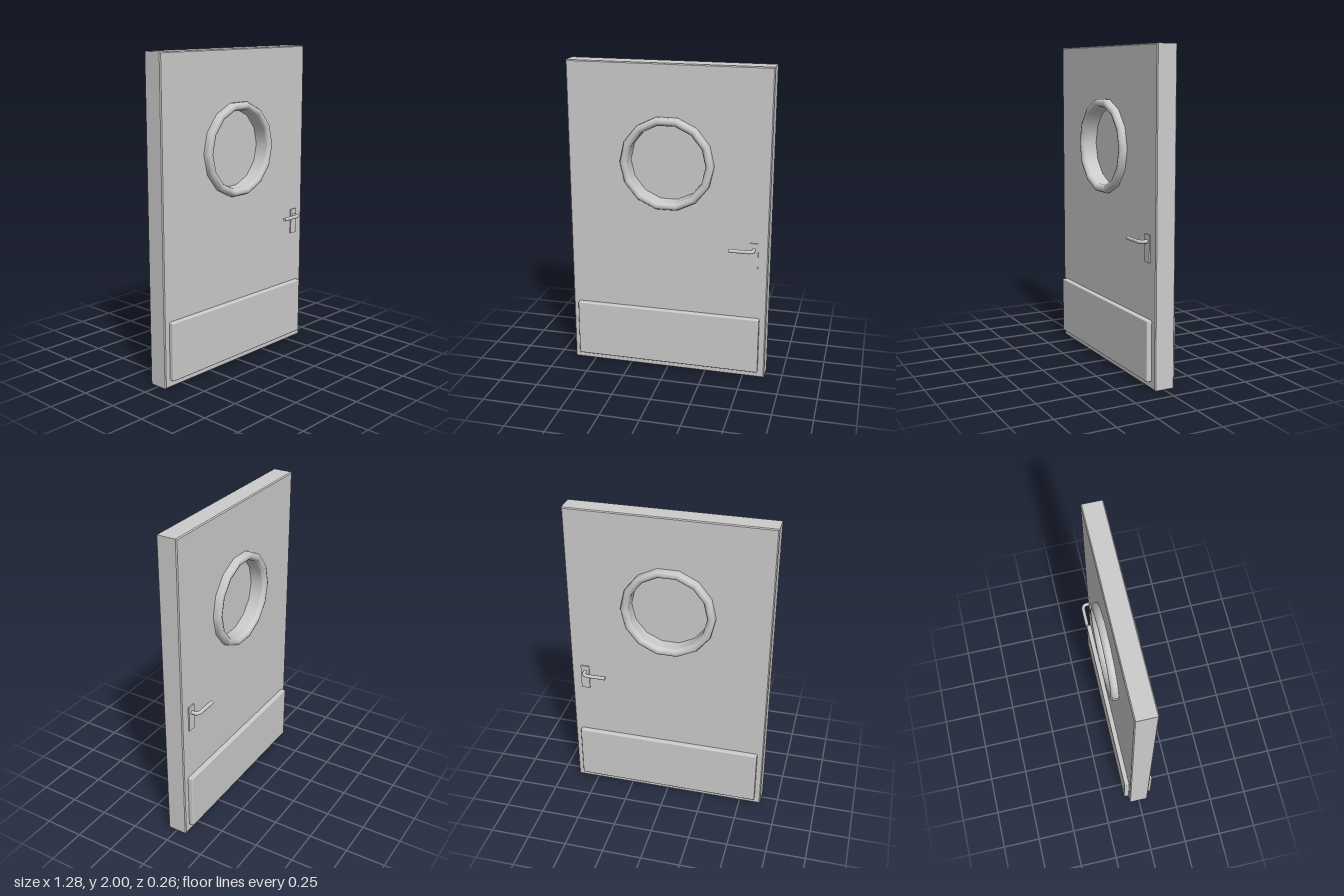
import * as THREE from 'three';
import { RoundedBoxGeometry } from 'three/addons/geometries/RoundedBoxGeometry.js';

const SIDES = 14;
const HALF = 0.065; // half the slab thickness
const PORT = { x: -0.004, y: 1.386 };
const material = new THREE.MeshStandardMaterial({ color: 0xcccccc });

function addPart(parent, name, geometry, x = 0, y = 0, z = 0) {
  const mesh = new THREE.Mesh(geometry, material);
  mesh.name = name;
  mesh.position.set(x, y, z);
  parent.add(mesh);
  return mesh;
}

// Slab with a polygonal porthole opening and a fine bevel
function slabGeometry() {
  const w = 0.64, bevel = 0.006;
  const shape = new THREE.Shape([
    new THREE.Vector2(-w, 0), new THREE.Vector2(w, 0),
    new THREE.Vector2(w, 2), new THREE.Vector2(-w, 2),
  ]);
  const hole = [];
  for (let i = 0; i < SIDES; i++) {
    const a = -i / SIDES * Math.PI * 2;
    hole.push(new THREE.Vector2(PORT.x + 0.27 * Math.cos(a), PORT.y + 0.27 * Math.sin(a)));
  }
  shape.holes.push(new THREE.Path(hole));
  const geometry = new THREE.ExtrudeGeometry(shape, {
    depth: 2 * (HALF - bevel), bevelThickness: bevel, bevelSize: bevel,
    bevelOffset: -bevel, bevelSegments: 1,
  });
  return geometry.translate(0, 0, -HALF + bevel);
}

// Rounded frame running right through the slab, lining the opening
function portholeGeometry() {
  const front = [[0.297, 0.085], [0.289, 0.102], [0.272, 0.109], [0.255, 0.102], [0.246, 0.085]];
  const back = front.map(([r, z]) => [r, -z]).reverse();
  const profile = [...back, ...front, back[0]].map(([r, z]) => new THREE.Vector2(r, z));
  return new THREE.LatheGeometry(profile, SIDES, Math.PI / 2).rotateX(Math.PI / 2);
}

// Lever handle with backplate; side is 1 for the front, -1 for the back
function createHandle(side) {
  const handle = new THREE.Group();
  handle.name = side > 0 ? 'frontHandle' : 'backHandle';
  addPart(handle, 'handleBackplate', new THREE.BoxGeometry(0.055, 0.165, 0.016), 0.55, 0.835, side * HALF);

  const z = 0.1175;
  const point = (x, d) => new THREE.Vector3(x, 0.875, side * d);
  const path = new THREE.CurvePath();
  path.add(new THREE.LineCurve3(point(0.55, 0.06), point(0.55, 0.09)));
  path.add(new THREE.QuadraticBezierCurve3(point(0.55, 0.09), point(0.55, z), point(0.512, z)));
  path.add(new THREE.LineCurve3(point(0.512, z), point(0.4, z)));
  addPart(handle, 'lever', new THREE.TubeGeometry(path, 24, 0.012, 8));
  const cap = addPart(handle, 'leverEnd', new THREE.CircleGeometry(0.012, 8), 0.4, 0.875, side * z);
  cap.rotation.y = -Math.PI / 2;
  return handle;
}

export function createModel() {
  const door = new THREE.Group();
  door.name = 'door';
  const body = new THREE.Group();
  body.name = 'doorBody';
  body.position.z = -0.003;
  door.add(body);

  addPart(body, 'slab', slabGeometry());
  addPart(body, 'portholeFrame', portholeGeometry(), PORT.x, PORT.y);

  // Pane in the middle of the opening
  const pane = new THREE.CylinderGeometry(0.25, 0.25, 0.01, SIDES, 1, false, Math.PI / 2);
  addPart(body, 'windowPane', pane.rotateX(Math.PI / 2), PORT.x, PORT.y);

  // Kick plate and handle on both faces
  for (const side of [1, -1]) {
    const plate = new RoundedBoxGeometry(1.2, 0.37, 0.044, 2, 0.008);
    addPart(body, side > 0 ? 'frontKickPlate' : 'backKickPlate', plate, -0.002, 0.23, side * 0.074);
    body.add(createHandle(side));
  }
  return door;
}
